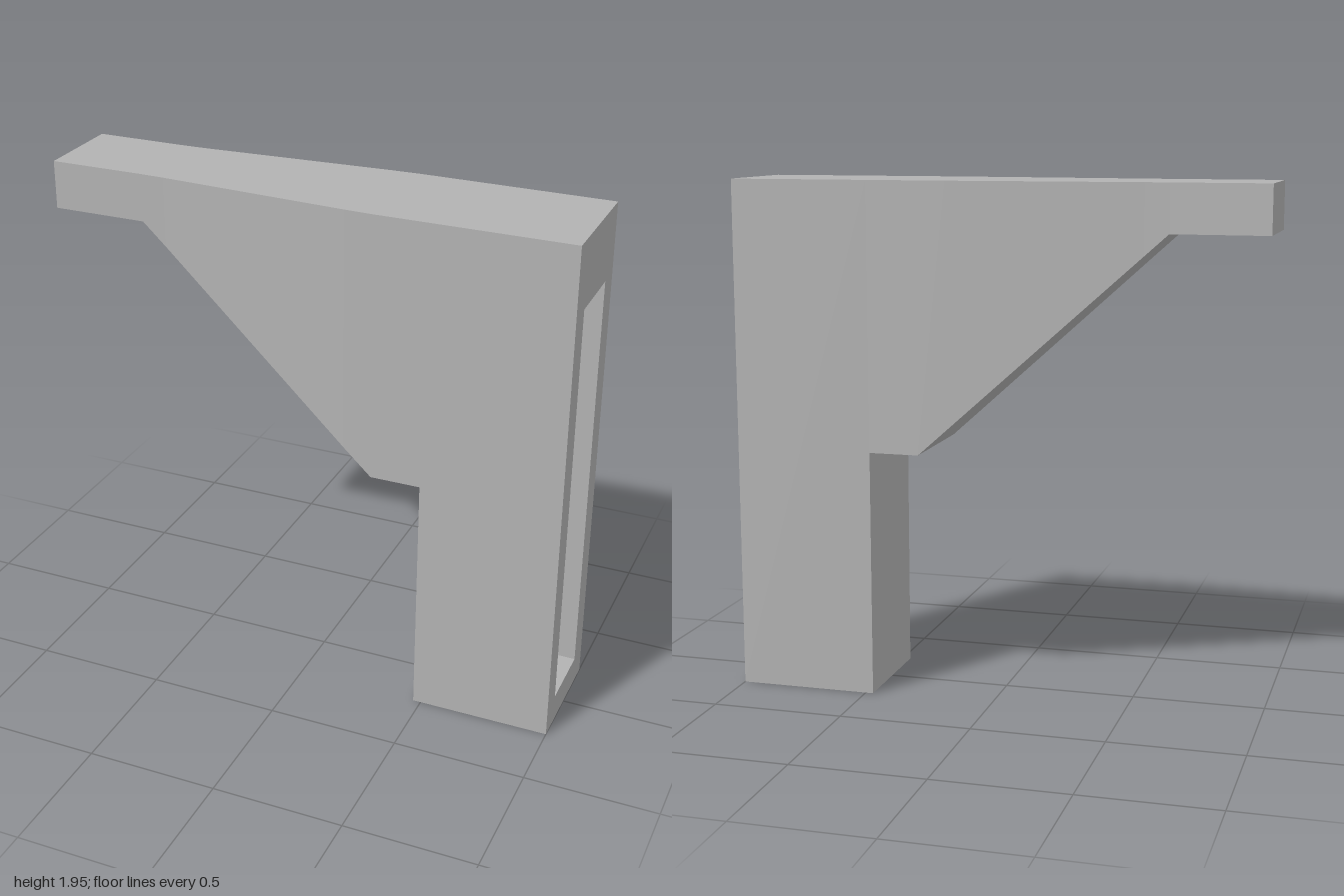
import * as THREE from 'three';

const TOP = 1.95;

// Flat-shaded geometry from quads, corners counter-clockwise seen from outside
function quadGeometry(quads) {
  const pos = [];
  for (const [a, b, c, d] of quads) pos.push(...a, ...b, ...c, ...a, ...c, ...d);
  const g = new THREE.BufferGeometry();
  g.setAttribute('position', new THREE.Float32BufferAttribute(pos, 3));
  g.computeVertexNormals();
  return g;
}

// Rectangular section at x: corners run round the x axis
const section = (x, y0, y1, w) => [[x, y0, w], [x, y1, w], [x, y1, -w], [x, y0, -w]];

// Walls joining section a to section b, facing outward when b has the larger x
function walls(a, b) {
  return a.map((p, i) => {
    const j = (i + 1) % 4;
    return [p, b[i], b[j], a[j]];
  });
}

export function createModel() {
  const group = new THREE.Group();
  const grey = new THREE.MeshStandardMaterial({ color: 0xb2b2b2 });
  grey.name = 'grey';
  const add = (name, quads) => {
    const mesh = new THREE.Mesh(quadGeometry(quads), grey);
    mesh.name = name;
    group.add(mesh);
  };

  // Arm: [x, underside y, half width], tapering towards its tip
  const arm = [
    [-1, 1.77, 0.175], [-0.64, 1.77, 0.175], [-0.55, 1.689, 0.178],
    [0.17, 1.039, 0.221], [0.28, 0.94, 0.225], [0.47, 0.94, 0.225],
  ].map(([x, y, w]) => section(x, y, TOP, w));
  const armQuads = [[...arm[0]]];
  for (let i = 1; i < arm.length; i++) armQuads.push(...walls(arm[i - 1], arm[i]));
  add('bracketArm', armQuads);

  // Post, with its inner face below the arm
  const inner = section(0.47, 0, TOP, 0.225);
  const outer = section(1, 0, TOP, 0.225);
  add('post', [...walls(inner, outer), section(0.47, 0, 0.94, 0.225)]);

  // Rim round the slot in the outer face
  const mouth = section(1, 0.11, 1.69, 0.132);
  add('slotRim', walls(outer, mouth));

  // Slot walls and back
  const back = section(0.58, 0.11, 1.69, 0.132);
  add('slot', [...walls(mouth, back), [...back].reverse()]);

  return group;
}
